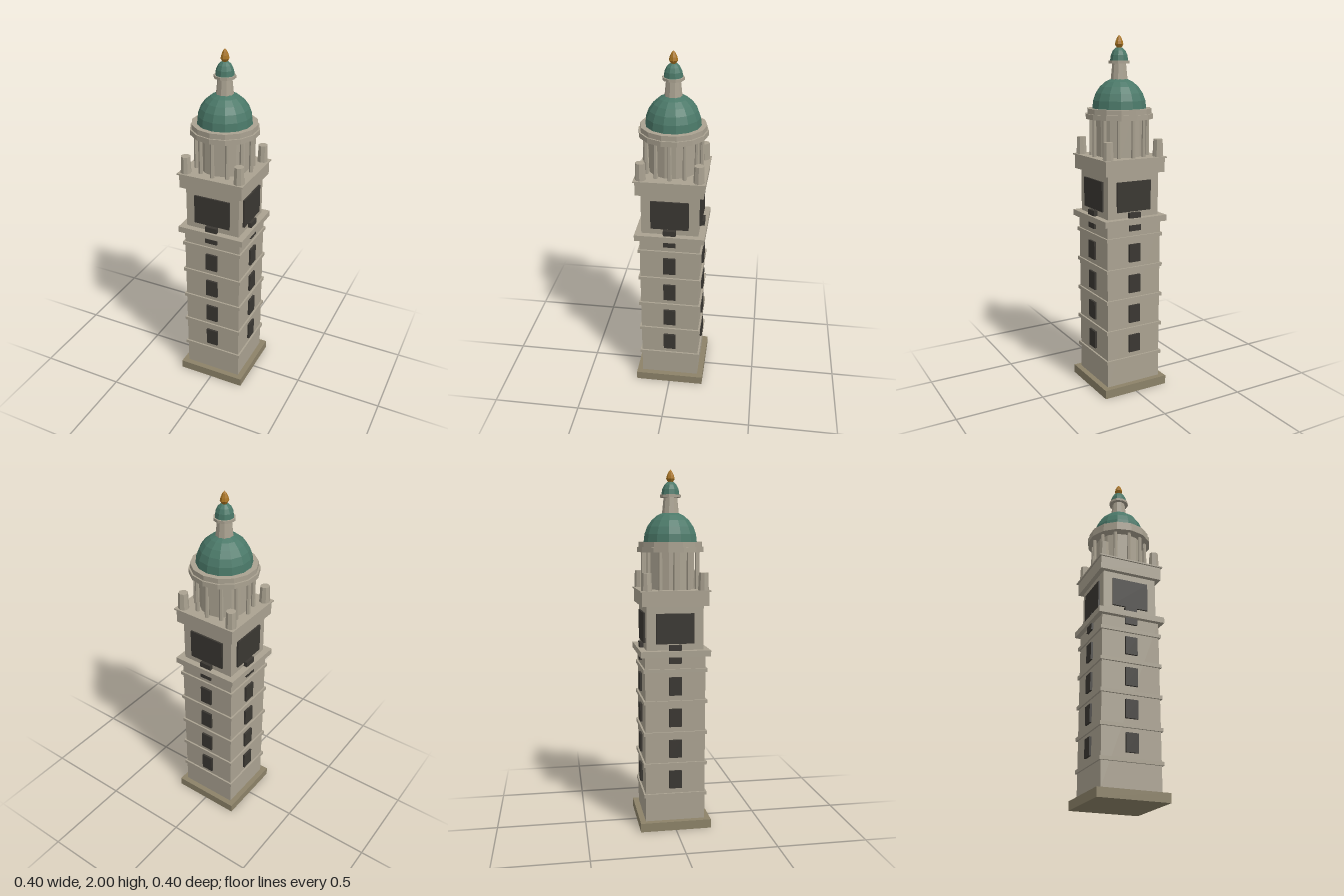
import * as THREE from 'three';

const mat = (color) => new THREE.MeshStandardMaterial({ color, flatShading: true });

export function createModel() {
  const tower = new THREE.Group();
  tower.name = 'clockTower';
  const stone = mat(0xaaa291), plinthStone = mat(0x8c8268), dark = mat(0x3a3732);
  const copper = mat(0x4a7868), gold = mat(0xa87422);

  const add = (name, geometry, material, x = 0, y = 0, z = 0) => {
    const mesh = new THREE.Mesh(geometry, material);
    mesh.name = name;
    mesh.position.set(x, y, z);
    tower.add(mesh);
    return mesh;
  };
  // Square block of given half width between two heights
  const block = (name, half, y0, y1, material = stone) =>
    add(name, new THREE.BoxGeometry(half * 2, y1 - y0, half * 2), material, 0, (y0 + y1) / 2, 0);
  // Upright faceted drum between two heights
  const drum = (name, rBottom, rTop, y0, y1, sides, x = 0, z = 0) =>
    add(name, new THREE.CylinderGeometry(rTop, rBottom, y1 - y0, sides), stone, x, (y0 + y1) / 2, z);
  // Panel repeated on all four faces, from inner to outer distance
  const panels = (name, halfWidth, y0, y1, inner, outer) => {
    for (let i = 0; i < 4; i++) {
      const a = i * Math.PI / 2, d = (inner + outer) / 2;
      const geometry = new THREE.BoxGeometry(halfWidth * 2, y1 - y0, outer - inner);
      add(name, geometry, dark, Math.sin(a) * d, (y0 + y1) / 2, Math.cos(a) * d).rotation.y = a;
    }
  };
  // Half-ellipsoid dome
  const dome = (name, radius, y, height, sides, rings) => {
    const profile = [];
    for (let i = 0; i <= rings; i++) {
      const t = i / rings * Math.PI / 2;
      profile.push(new THREE.Vector2(i === rings ? 0 : radius * Math.cos(t), height * Math.sin(t)));
    }
    add(name, new THREE.LatheGeometry(profile, sides), copper, 0, y, 0);
  };

  // Plinth and shaft, with string courses and windows
  block('plinth', 0.2, 0, 0.05, plinthStone);
  block('shaft', 0.168, 0.05, 1.0);
  for (let i = 0; i < 5; i++) {
    const y = 0.2 + i * 0.178;
    block('stringCourse', 0.178, y - 0.01, y + 0.01);
    panels('window', 0.035, y + 0.04, y + 0.142, 0.15, 0.18);
  }
  block('shaftCornice', 0.194, 0.99, 1.024);

  // Belfry with large openings
  block('belfry', 0.158, 1.024, 1.268);
  panels('belfryOpening', 0.105, 1.06, 1.226, 0.14, 0.168);
  block('belfryEntablature', 0.184, 1.266, 1.343);
  block('balconySlab', 0.193, 1.343, 1.351);

  // Corner pinnacles
  for (const x of [-0.156, 0.156])
    for (const z of [-0.156, 0.156]) drum('cornerPinnacle', 0.03, 0.026, 1.35, 1.446, 8, x, z);

  // Colonnaded drum
  drum('drum', 0.135, 0.135, 1.35, 1.56, 14);
  for (let i = 0; i < 12; i++) {
    const a = i * Math.PI / 6;
    drum('column', 0.012, 0.01, 1.35, 1.56, 6, Math.sin(a) * 0.155, Math.cos(a) * 0.155);
  }
  drum('drumCornice', 0.188, 0.188, 1.554, 1.582, 14);
  drum('domeRing', 0.179, 0.179, 1.582, 1.61, 14);
  dome('dome', 0.15, 1.61, 0.165, 14, 6);

  // Lantern, its cap and finial
  drum('lantern', 0.047, 0.038, 1.765, 1.852, 10);
  drum('lanternCornice', 0.058, 0.058, 1.85, 1.865, 10);
  dome('lanternDome', 0.05, 1.865, 0.073, 10, 4);
  const finial = [[0, 1.93], [0.014, 1.934], [0.024, 1.95], [0.02, 1.967], [0.011, 1.987], [0, 2]];
  add('finial', new THREE.LatheGeometry(finial.map(([r, y]) => new THREE.Vector2(r, y)), 8), gold);

  return tower;
}
